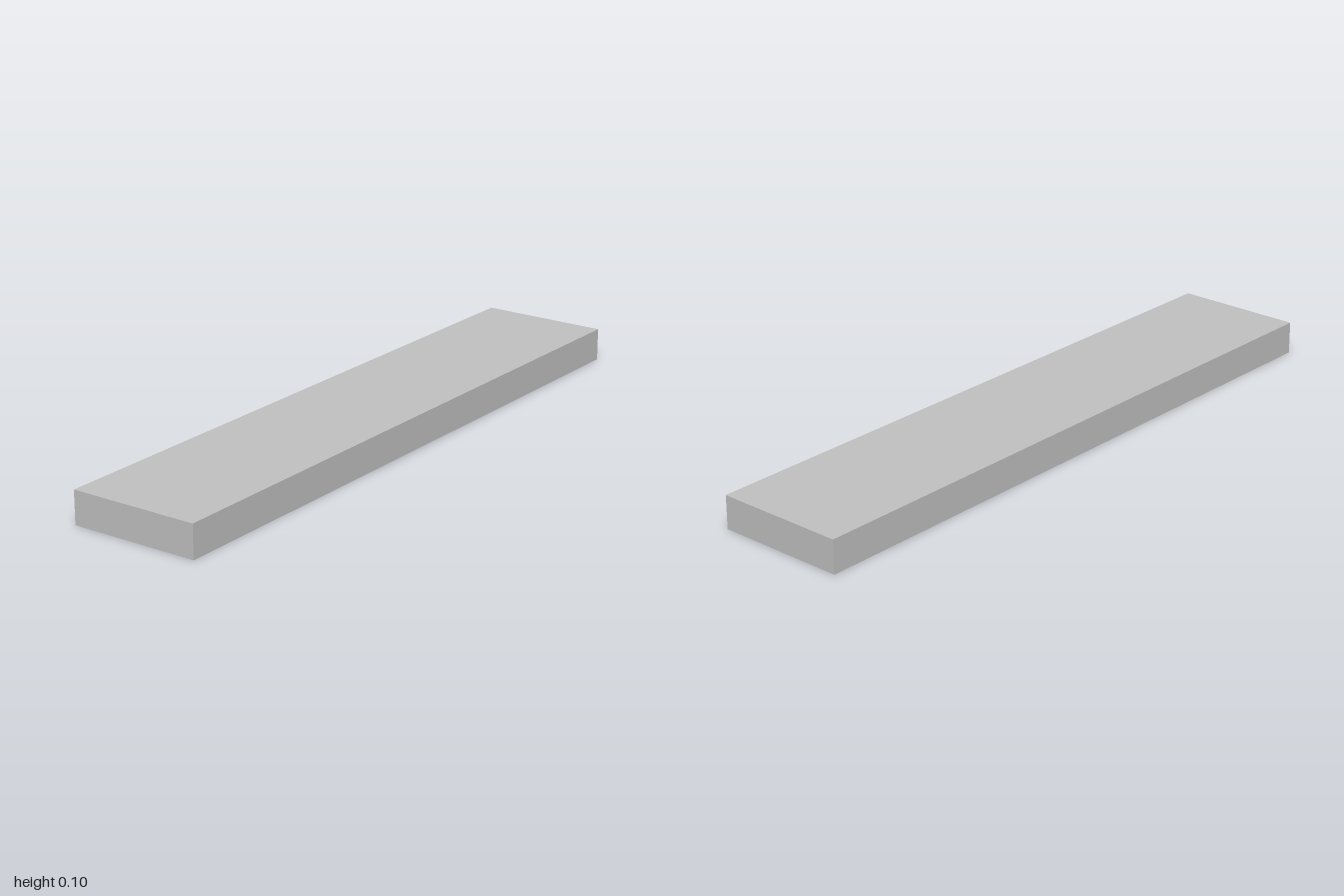
import * as THREE from 'three';

const LENGTH = 2, WIDTH = 0.4, HEIGHT = 0.1;
const WALL = 0.004;        // shell and rib thickness
const RIB_HEIGHT = 0.05;   // ribs stop halfway up the hollow
const CELLS = 20;

export function createModel() {
  const group = new THREE.Group();
  const grey = new THREE.MeshStandardMaterial({ color: 0xc0c0c0 });
  grey.name = 'plain grey';

  const addBox = (name, w, h, d, x, y, z) => {
    const mesh = new THREE.Mesh(new THREE.BoxGeometry(w, h, d), grey);
    mesh.name = name;
    mesh.position.set(x, y, z);
    group.add(mesh);
  };

  // Top plate, with the walls hanging beneath it
  addBox('topPlate', LENGTH, WALL, WIDTH, 0, HEIGHT - WALL / 2, 0);
  const wallHeight = HEIGHT - WALL;
  for (const side of [-1, 1]) {
    addBox(side > 0 ? 'frontWall' : 'backWall', LENGTH, wallHeight, WALL,
      0, wallHeight / 2, side * (WIDTH - WALL) / 2);
    addBox(side > 0 ? 'leftEndWall' : 'rightEndWall', WALL, wallHeight, WIDTH - 2 * WALL,
      side * (LENGTH - WALL) / 2, wallHeight / 2, 0);
  }

  // Full-height spine along the middle of the hollow underside
  addBox('centreSpine', LENGTH - 2 * WALL, wallHeight, WALL, 0, wallHeight / 2, 0);

  // Half-height cross ribs on both sides of the spine
  const ribDepth = WIDTH / 2 - 1.5 * WALL;
  for (let i = 1; i < CELLS; i++) {
    const x = -LENGTH / 2 + (i * LENGTH) / CELLS;
    for (const side of [-1, 1]) {
      addBox('crossRib', WALL, RIB_HEIGHT, ribDepth,
        x, RIB_HEIGHT / 2, side * (WALL + ribDepth) / 2);
    }
  }
  return group;
}
